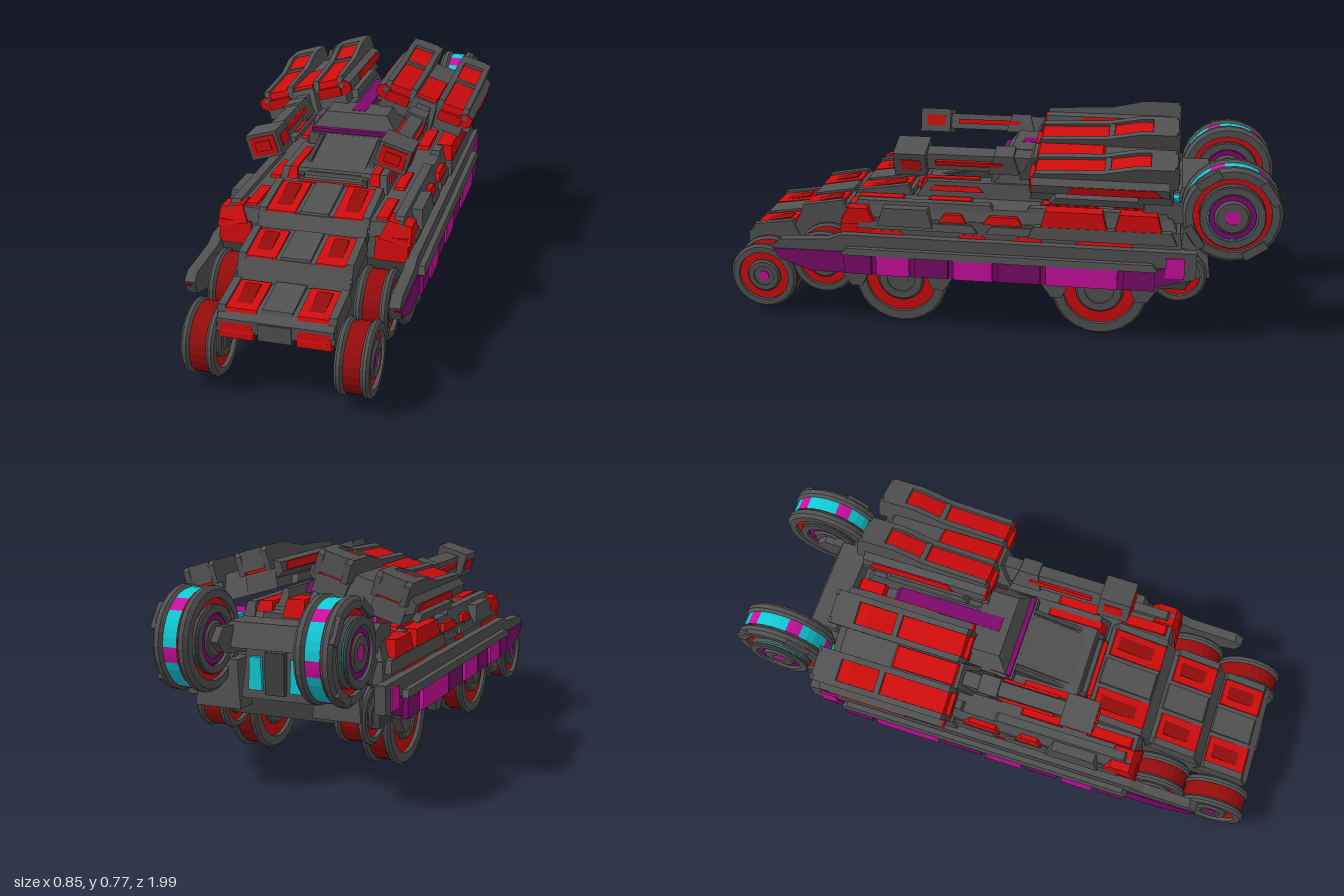
import * as THREE from 'three';

const mat = (color) => new THREE.MeshStandardMaterial({ color, flatShading: true });
const GREY = mat(0x525252), DARK = mat(0x404040), RED = mat(0xd00c0c), DEEP = mat(0x960c0c);
const PURPLE = mat(0x7d0a6c), PINK = mat(0xcc10a0), CYAN = mat(0x10ccd8);

function add(parent, name, geo, material, x = 0, y = 0, z = 0) {
  const m = new THREE.Mesh(geo, material);
  m.name = name;
  m.position.set(x, y, z);
  parent.add(m);
  return m;
}

// side profile of [z, y] points, extruded from x0 to x1
function prism(parent, name, material, pts, x0, x1) {
  const a = Math.min(x0, x1), b = Math.max(x0, x1);
  const shape = new THREE.Shape(pts.map(([z, y]) => new THREE.Vector2(z, y)));
  const geo = new THREE.ExtrudeGeometry(shape, { depth: b - a, bevelEnabled: false });
  geo.rotateY(-Math.PI / 2).translate(b, 0, 0);
  return add(parent, name, geo, material);
}

// armour block with its top face drawn in by ix and iz
function block(parent, name, material, [x0, x1], [y0, y1], [z0, z1], ix = 0.012, iz = 0.02) {
  const w = Math.abs(x1 - x0), d = Math.abs(z1 - z0);
  const geo = new THREE.BoxGeometry(w, y1 - y0, d);
  const p = geo.attributes.position;
  for (let i = 0; i < p.count; i++) {
    if (p.getY(i) < 0) continue;
    p.setX(i, p.getX(i) * (1 - 2 * ix / w));
    p.setZ(i, p.getZ(i) * (1 - 2 * iz / d));
  }
  geo.computeVertexNormals();
  return add(parent, name, geo, material, (x0 + x1) / 2, (y0 + y1) / 2, (z0 + z1) / 2);
}

function pairBlock(parent, name, material, [x0, x1], ...rest) {
  for (const s of [-1, 1]) block(parent, name, material, [s * x0, s * x1], ...rest);
}

// disc or ring about the x axis
function disc(parent, name, material, r, w, x = 0) {
  add(parent, name, new THREE.CylinderGeometry(r, r, w, 24).rotateZ(-Math.PI / 2), material, x);
}
function ring(parent, name, material, ri, ro, w, x = 0) {
  const h = w / 2, c = Math.min(0.012, h * 0.6);
  const pts = [[ri, -h], [ro - c, -h], [ro, -h + c], [ro, h - c], [ro - c, h], [ri, h], [ri, -h]];
  const geo = new THREE.LatheGeometry(pts.map(([a, b]) => new THREE.Vector2(a, b)), 24);
  add(parent, name, geo.rotateZ(-Math.PI / 2), material, x);
}

function roadWheel(parent, x, y, z, r) {
  const g = new THREE.Group();
  g.name = 'roadWheel';
  g.position.set(x, y, z);
  disc(g, 'tread', DEEP, r * 0.93, 0.06);
  disc(g, 'wheelFace', RED, r * 0.8, 0.084);
  for (const s of [-1, 1]) {
    ring(g, 'tyreRim', GREY, r * 0.76, r, 0.028, s * 0.042);
    ring(g, 'hubRing', GREY, r * 0.3, r * 0.5, 0.024, s * 0.044);
    disc(g, 'hub', GREY, r * 0.36, 0.012, s * 0.044);
    disc(g, 'hubCap', r < 0.15 ? PINK : GREY, r * 0.16, 0.016, s * 0.046);
  }
  parent.add(g);
}

function rearDriveWheel(parent, s) {
  const g = new THREE.Group(), r = 0.172;
  g.name = 'raisedRearWheel';
  g.position.set(s * 0.245, 0.482, -0.822);
  // glowing tread segments between the rims
  for (let i = 0; i < 12; i++) {
    const long = i % 2 === 0, step = Math.PI / 3;
    const start = Math.floor(i / 2) * step + (long ? 0 : step * 0.7);
    const geo = new THREE.CylinderGeometry(r * 0.95, r * 0.95, 0.05, 4, 1, true, start, step * (long ? 0.7 : 0.3));
    add(g, 'treadSegment', geo.rotateZ(-Math.PI / 2), long ? CYAN : PINK);
  }
  disc(g, 'drum', RED, r * 0.84, 0.1);
  for (const t of [-1, 1]) {
    ring(g, 'rim', GREY, r * 0.78, r, 0.04, t * 0.044);
    ring(g, 'faceRing', GREY, r * 0.52, r * 0.66, 0.03, t * 0.052);
  }
  // hub plates, deeper on the outer face
  for (const [t, d] of [[s, 0.016], [-s, 0]]) {
    if (d) ring(g, 'glowRing', CYAN, r * 0.4, r * 0.6, 0.012, t * 0.07);
    ring(g, 'coverRing', GREY, r * 0.5, r * 0.66, 0.012, t * (0.064 + d));
    ring(g, 'innerRing', PURPLE, r * 0.36, r * 0.5, 0.02, t * (0.052 + d));
    ring(g, 'hubRing', GREY, r * 0.15, r * 0.36, 0.03, t * (0.054 + d));
    disc(g, 'hub', PINK, r * 0.15, 0.03, t * (0.052 + d));
  }
  // guard blocks around the outer rim
  for (let i = 0; i < 4; i++) {
    const a = i * Math.PI / 2 + 0.6;
    const m = add(g, 'rimGuard', new THREE.BoxGeometry(0.03, 0.03, 0.09), GREY,
      s * 0.055, Math.cos(a) * r * 0.87, Math.sin(a) * r * 0.87);
    m.rotation.x = a;
  }
  parent.add(g);
}

function gun(parent, s) {
  const g = new THREE.Group();
  g.name = 'gunPod';
  g.position.set(s * 0.23, 0.622, 0);
  g.rotation.z = -s * 0.29;
  // barrel and muzzle
  block(g, 'muzzle', GREY, [-0.058, 0.058], [-0.045, 0.045], [0.25, 0.366], 0, 0);
  block(g, 'muzzleFace', RED, [-0.046, 0.046], [-0.034, 0.034], [0.3, 0.37], 0, 0);
  block(g, 'muzzleBore', RED, [-0.028, 0.028], [-0.018, 0.018], [0.3, 0.375], 0, 0);
  pairBlock(g, 'muzzleSlot', RED, [0.04, 0.061], [-0.02, 0.02], [0.27, 0.34], 0, 0);
  block(g, 'barrel', GREY, [-0.036, 0.036], [-0.03, 0.028], [-0.12, 0.26], 0.01, 0);
  block(g, 'barrelStripe', RED, [-0.04, 0.04], [-0.01, 0.008], [-0.02, 0.22], 0, 0);
  block(g, 'barrelCollar', GREY, [-0.044, 0.044], [-0.035, 0.035], [-0.08, 0.03], 0.01, 0.02);
  block(g, 'breech', GREY, [-0.055, 0.055], [-0.045, 0.045], [-0.62, -0.08], 0.01, 0.05);
  block(g, 'breechPanel', RED, [-0.042, 0.042], [0.03, 0.054], [-0.39, -0.13], 0.004, 0.02);
  // twin pods either side of the breech
  for (const t of [-1, 1]) {
    const x = t * 0.105;
    block(g, 'podBase', GREY, [x - 0.058, x + 0.058], [-0.045, 0.03], [-0.62, -0.13], 0, 0.02);
    block(g, 'podStripe', RED, [x - 0.061, x + 0.061], [-0.012, 0.008], [-0.57, -0.2], 0, 0);
    prism(g, 'podRoof', RED, [[-0.14, 0.02], [-0.15, 0.054], [-0.38, 0.064], [-0.5, 0.088], [-0.62, 0.09], [-0.62, 0.02]], x - 0.05, x + 0.05);
    for (const e of [-0.05, 0.05])
      prism(g, 'podRail', GREY, [[-0.13, 0.02], [-0.15, 0.064], [-0.38, 0.074], [-0.5, 0.1], [-0.62, 0.1], [-0.635, 0.085], [-0.635, 0.02]], x + e - 0.011, x + e + 0.011);
    block(g, 'podRearCap', GREY, [x - 0.042, x + 0.042], [0.03, 0.1], [-0.638, -0.53], 0, 0.01);
    block(g, 'podRib', GREY, [x - 0.042, x + 0.042], [0.04, 0.075], [-0.41, -0.38], 0, 0.005);
    block(g, 'podFront', RED, [x - 0.045, x + 0.045], [-0.008, 0.03], [-0.2, -0.128], 0, 0);
    // six-sided side pod with red front and flank
    const hex = add(g, 'podSide', new THREE.CylinderGeometry(0.031, 0.031, 0.46, 6), GREY, t * 0.164, 0.018, -0.375);
    hex.rotation.x = Math.PI / 2;
    const cap = add(g, 'podSideFront', new THREE.CylinderGeometry(0.03, 0.03, 0.01, 6), RED, t * 0.164, 0.018, -0.142);
    cap.rotation.x = Math.PI / 2;
    block(g, 'podSidePanel', RED, [t * 0.17, t * 0.194], [0.004, 0.032], [-0.58, -0.26], 0, 0.02);
    block(g, 'podTab', GREY, [t * 0.14, t * 0.188], [-0.045, -0.018], [-0.52, -0.2], 0, 0.02);
  }
  parent.add(g);
}

export function createModel() {
  const root = new THREE.Group();
  root.name = 'armouredVehicle';

  // hull, nose and belly
  const nose = [[0.94, 0.21], [0.965, 0.23], [0.965, 0.275], [0.93, 0.3], [0.78, 0.315], [0.745, 0.385],
    [0.57, 0.41], [0.535, 0.455], [0.32, 0.48], [0.3, 0.21]];
  prism(root, 'noseHull', GREY, nose, -0.19, 0.19);
  block(root, 'bellyHull', DARK, [-0.33, 0.33], [0.205, 0.34], [-0.68, 0.55], 0, 0);
  block(root, 'noseWindow', GREY, [-0.055, 0.055], [0.215, 0.272], [0.9, 0.97], 0, 0);
  // stepped hood strips: [front z, rear z, front y, rear y]
  for (const [zf, zr, yf, yr] of [[0.95, 0.77, 0.298, 0.32], [0.755, 0.57, 0.385, 0.412], [0.545, 0.32, 0.455, 0.485]]) {
    const strip = [[zf + 0.02, yf - 0.065], [zf - 0.012, yf + 0.004], [zr + 0.02, yr + 0.004], [zr, yr - 0.05]];
    const inset = [[zf - 0.03, yf], [zf - 0.03, yf + 0.006], [zr + 0.04, yr + 0.006], [zr + 0.04, yr]];
    const rail = [[zf + 0.016, yf - 0.065], [zf - 0.012, yf + 0.012], [zr + 0.02, yr + 0.012], [zr - 0.01, yr - 0.05]];
    for (const s of [-1, 1]) {
      prism(root, 'hoodStrip', RED, strip, s * 0.067, s * 0.17);
      prism(root, 'hoodStripInset', DEEP, inset, s * 0.095, s * 0.145);
      prism(root, 'hoodRail', GREY, rail, s * 0.168, s * 0.194);
    }
    prism(root, 'hoodCentre', GREY, strip.map(([z, y]) => [z - 0.005, y + 0.004]), -0.05, 0.05);
  }
  pairBlock(root, 'noseBumper', RED, [0.07, 0.185], [0.212, 0.275], [0.86, 0.97], 0.008, 0.006);

  // wide body in stacked tiers
  block(root, 'lowerTier', GREY, [-0.332, 0.332], [0.335, 0.415], [-0.66, 0.555], 0.005, 0.01);
  block(root, 'middleTier', GREY, [-0.325, 0.325], [0.41, 0.458], [-0.64, 0.55], 0.02, 0.02);
  block(root, 'upperTier', GREY, [-0.2, 0.2], [0.455, 0.515], [-0.64, 0.31], 0.01, 0.04);
  block(root, 'topDeck', GREY, [-0.18, 0.18], [0.51, 0.565], [-0.62, 0.03], 0.01, 0.05);
  pairBlock(root, 'deckShoulder', GREY, [0.15, 0.2], [0.5, 0.57], [-0.62, -0.1], 0.01, 0.03);

  // front fenders with sloping corner guards
  pairBlock(root, 'fenderFront', RED, [0.215, 0.332], [0.335, 0.415], [0.42, 0.566], 0.004, 0.012);
  for (const s of [-1, 1]) {
    const guard = block(root, 'cornerGuard', RED, [s * 0.235, s * 0.345], [0.4, 0.458], [0.43, 0.56], 0.014, 0.03);
    guard.rotation.z = -s * 0.2;
  }

  // armour panels along the flanks: x range, y range, z ranges
  const rows = [
    ['deckPanel', RED, [0.205, 0.255], [0.44, 0.466], [[0.33, 0.53], [0.08, 0.27]]],
    ['deckRail', GREY, [0.265, 0.31], [0.44, 0.472], [[0.0, 0.52], [-0.62, -0.1]]],
    ['shoulderPanel', RED, [0.29, 0.336], [0.412, 0.44], [[0.1, 0.2], [-0.1, 0.04]]],
    ['shoulderRib', GREY, [0.29, 0.35], [0.392, 0.458], [[0.22, 0.42]]],
    ['rearShoulder', RED, [0.275, 0.345], [0.405, 0.475], [[-0.59, -0.42], [-0.4, -0.16]]],
    ['rearShoulderFrame', GREY, [0.3, 0.352], [0.375, 0.418], [[-0.64, -0.12]]],
    ['rearDeckPanel', RED, [0.205, 0.26], [0.44, 0.47], [[-0.6, -0.4], [-0.37, -0.14]]],
    ['innerDeckPanel', RED, [0.13, 0.17], [0.48, 0.52], [[0.06, 0.3]]],
    ['topDeckPanel', RED, [0.09, 0.15], [0.54, 0.575], [[-0.61, -0.36], [-0.32, -0.14]]],
    ['topSidePanel', RED, [0.16, 0.203], [0.482, 0.5], [[0.06, 0.26], [-0.58, -0.3]]],
    ['sideSlot', RED, [0.31, 0.337], [0.346, 0.368], [[0.32, 0.46], [0.02, 0.14], [-0.18, -0.06], [-0.5, -0.28]]],
    ['sideRail', GREY, [0.31, 0.342], [0.378, 0.405], [[0.06, 0.5], [-0.62, 0.03]]],
    ['skirtCap', GREY, [0.33, 0.388], [0.288, 0.312], [[-0.58, 0.55]]],
  ];
  for (const [name, m, x, y, spans] of rows)
    for (const z of spans) pairBlock(root, name, m, x, y, z, 0.006, 0.02);

  // cabin with sloping windscreen, brow and spine
  prism(root, 'cabin', GREY, [[0.32, 0.46], [0.3, 0.49], [0.03, 0.548], [-0.06, 0.61], [-0.3, 0.6], [-0.62, 0.54], [-0.62, 0.46]], -0.115, 0.115);
  prism(root, 'windscreen', GREY, [[0.285, 0.48], [0.28, 0.506], [0.03, 0.558], [0.03, 0.48]], -0.1, 0.1);
  for (const s of [-1, 1])
    prism(root, 'windscreenFrame', DARK, [[0.31, 0.46], [0.3, 0.498], [0.02, 0.556], [0.02, 0.46]], s * 0.108, s * 0.125);
  block(root, 'browBase', GREY, [-0.17, 0.17], [0.512, 0.558], [-0.16, 0.035], 0.004, 0.004);
  block(root, 'cabinBrow', GREY, [-0.172, 0.172], [0.556, 0.627], [-0.2, 0.02], 0.055, 0.05);
  block(root, 'browStripe', PURPLE, [-0.158, 0.158], [0.562, 0.576], [-0.05, 0.024], 0, 0);
  block(root, 'windscreenSill', RED, [-0.12, 0.12], [0.462, 0.484], [0.25, 0.33], 0.01, 0.01);
  block(root, 'spine', PURPLE, [-0.033, 0.033], [0.59, 0.628], [-0.47, -0.04], 0.006, 0.02);
  pairBlock(root, 'spineRail', GREY, [0.033, 0.075], [0.56, 0.618], [-0.6, -0.12], 0.012, 0.03);
  block(root, 'spineTail', RED, [-0.04, 0.04], [0.53, 0.59], [-0.63, -0.5], 0.008, 0.02);

  // side skirts with bright panels and wheel arches
  const skirt = [[0.81, 0.29], [0.78, 0.25], [0.67, 0.21], [-0.52, 0.21], [-0.66, 0.25], [-0.67, 0.295]];
  const carrier = [[0.81, 0.3], [0.79, 0.25], [0.66, 0.215], [-0.55, 0.215], [-0.71, 0.26], [-0.71, 0.355], [0.55, 0.355], [0.6, 0.335], [0.78, 0.325]];
  for (const s of [-1, 1]) {
    prism(root, 'skirtCarrier', GREY, carrier, s * 0.325, s * 0.362);
    prism(root, 'sideSkirt', PURPLE, skirt, s * 0.34, s * 0.366);
    for (const z of [[0.3, 0.42], [0.0, 0.14], [-0.44, -0.19]])
      block(root, 'skirtPanel', PINK, [s * 0.35, s * 0.386], [0.215, 0.289], z, 0, 0);
    for (const z of [[0.44, 0.54], [0.16, 0.28], [-0.17, -0.02], [-0.57, -0.46]])
      block(root, 'skirtPanelDull', PURPLE, [s * 0.35, s * 0.382], [0.215, 0.289], z, 0, 0);
    block(root, 'rearSkirtPanel', PINK, [s * 0.34, s * 0.368], [0.262, 0.335], [-0.67, -0.605], 0, 0);
    for (const z of [0.35, -0.375])
      prism(root, 'wheelArch', GREY, [[z + 0.21, 0.22], [z + 0.17, 0.16], [z + 0.13, 0.16], [z + 0.11, 0.205], [z - 0.11, 0.205], [z - 0.13, 0.16], [z - 0.17, 0.16], [z - 0.21, 0.22]], s * 0.33, s * 0.362);
    // road wheels: z, y, radius
    for (const [z, y, r] of [[0.875, 0.148, 0.125], [0.64, 0.218, 0.12], [0.35, 0.172, 0.172], [-0.375, 0.172, 0.172], [-0.65, 0.245, 0.1]])
      roadWheel(root, s * 0.251, y, z, r);
    for (const z of [0.875, 0.64])
      block(root, 'wheelArm', DARK, [s * 0.185, s * 0.21], [0.13, 0.26], [z - 0.03, z + 0.03], 0, 0);
    rearDriveWheel(root, s);
    gun(root, s);
    block(root, 'gunMount', PURPLE, [s * 0.13, s * 0.172], [0.535, 0.575], [-0.36, -0.06], 0.01, 0.04);
    // arms carrying the raised wheels
    prism(root, 'rearArm', GREY, [[-0.6, 0.4], [-0.6, 0.5], [-0.82, 0.525], [-0.86, 0.48], [-0.82, 0.44]], s * 0.15, s * 0.2);
    prism(root, 'outerArm', GREY, [[-0.52, 0.44], [-0.52, 0.52], [-0.6, 0.53], [-0.68, 0.49], [-0.68, 0.44]], s * 0.27, s * 0.3);
    block(root, 'armLight', CYAN, [s * 0.225, s * 0.265], [0.43, 0.52], [-0.66, -0.53], 0, 0.02);
    block(root, 'armLightFront', PINK, [s * 0.228, s * 0.262], [0.44, 0.54], [-0.56, -0.52], 0, 0.015);
  }

  // rear frame
  block(root, 'rearCrossbar', GREY, [-0.18, 0.18], [0.45, 0.53], [-0.78, -0.62], 0.01, 0.03);
  block(root, 'rearBox', GREY, [-0.13, 0.13], [0.28, 0.46], [-0.75, -0.62], 0.02, 0.01);
  pairBlock(root, 'rearLight', CYAN, [0.05, 0.1], [0.31, 0.42], [-0.757, -0.7], 0.005, 0);
  pairBlock(root, 'rearBracket', GREY, [0.13, 0.3], [0.24, 0.4], [-0.76, -0.64], 0.02, 0.02);
  block(root, 'rearHatch', DARK, [-0.035, 0.035], [0.3, 0.44], [-0.765, -0.7], 0, 0);
  return root;
}
